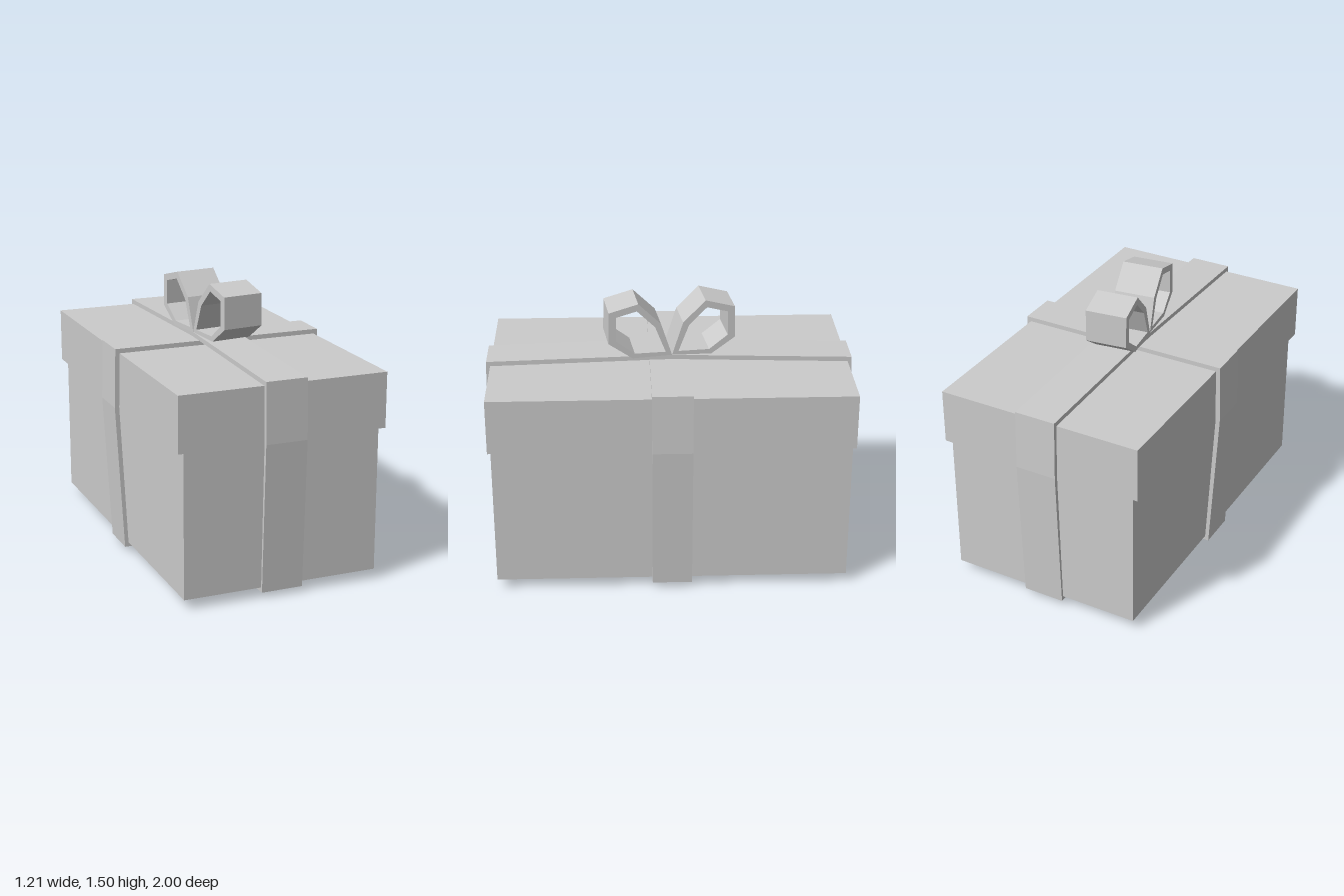
import * as THREE from 'three';

const material = new THREE.MeshStandardMaterial({ color: 0xcccccc, flatShading: true, side: THREE.DoubleSide });

function add(parent, name, geometry) {
  const mesh = new THREE.Mesh(geometry, material);
  mesh.name = name;
  parent.add(mesh);
  return mesh;
}

// Closed band: outer outline minus inner outline, extruded and centred on its width
function band(outer, inner, width) {
  const toVectors = (pts) => pts.map(([x, y]) => new THREE.Vector2(x, y));
  const shape = new THREE.Shape(toVectors(outer));
  shape.holes.push(new THREE.Path(toVectors(inner)));
  return new THREE.ExtrudeGeometry(shape, { depth: width, bevelEnabled: false })
    .translate(0, 0, -width / 2);
}

// Half outline from bottom to top, mirrored into a full loop
const mirrored = (half) => [
  ...half,
  ...half.filter(([x]) => x > 0).reverse().map(([x, y]) => [-x, y]),
];

export function createModel() {
  const model = new THREE.Group();
  model.name = 'giftBox';

  // Box and overhanging lid
  add(model, 'box', new THREE.BoxGeometry(1.08, 0.785, 1.91)).position.y = 0.4475;
  add(model, 'lid', new THREE.BoxGeometry(1.145, 0.3, 1.94)).position.y = 0.99;

  // Short strap, hugging the box across its width
  add(model, 'crossRibbon', band(
    mirrored([[0.56, 0.03], [0.605, 0.84], [0.596, 1.165]]),
    mirrored([[0.54, 0.055], [0.58, 0.84], [0.572, 1.14]]),
    0.215,
  ));

  // Long strap, passing over the short one at top and bottom
  add(model, 'longRibbon', band(
    mirrored([[0, 0], [0.966, 0.03], [1, 0.84], [0.991, 1.165], [0, 1.192]]),
    mirrored([[0, 0.028], [0.954, 0.055], [0.978, 0.84], [0.97, 1.14], [0, 1.167]]),
    0.228,
  ).rotateY(-Math.PI / 2));

  // Bow with two opposed loops, slightly twisted
  const bow = new THREE.Group();
  bow.name = 'bow';
  bow.rotation.y = 0.122;
  model.add(bow);
  const outer = [[0, 1.192], [0.215, 1.185], [0.346, 1.277], [0.342, 1.452], [0.182, 1.495], [0.06, 1.375]];
  const inner = [[0.035, 1.212], [0.203, 1.212], [0.305, 1.29], [0.303, 1.425], [0.19, 1.455], [0.092, 1.358]];
  for (const [name, angle] of [['frontBowLoop', -Math.PI / 2], ['backBowLoop', Math.PI / 2]]) {
    add(bow, name, band(outer, inner, 0.228).rotateY(angle));
  }

  return model;
}
